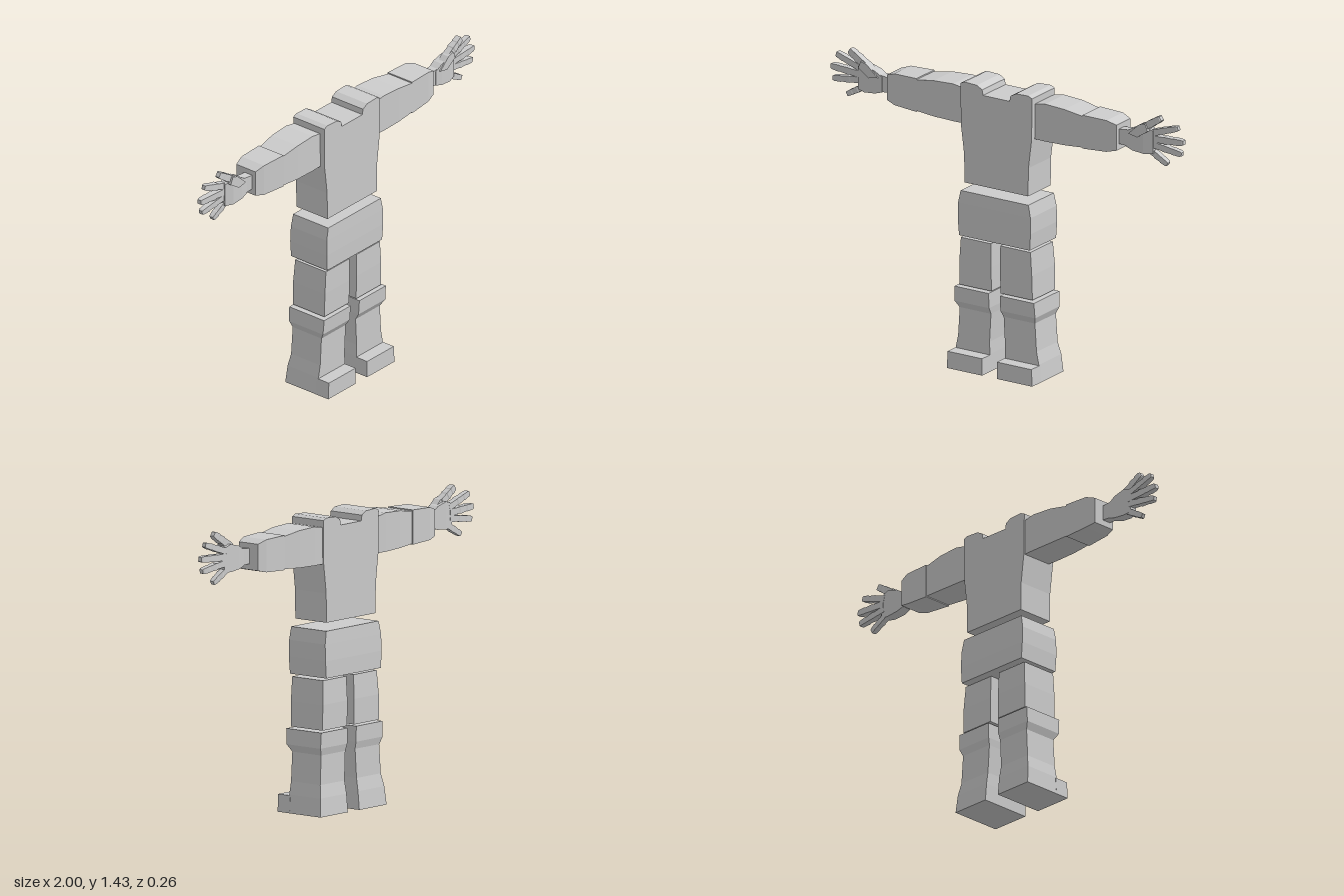
import * as THREE from 'three';

const grey = new THREE.MeshStandardMaterial({ color: 0xcccccc, flatShading: true });
grey.name = 'plain grey';

// Box whose cross-sections follow a list of [position, min1, max1, min2, max2].
// axis 'y': ranges are x and z. axis 'x': ranges are y and z.
function loft(axis, sections) {
  const n = sections.length - 1;
  const alongX = axis === 'x';
  const g = new THREE.BoxGeometry(1, 1, 1, alongX ? n : 1, alongX ? 1 : n, 1);
  const p = g.attributes.position;
  for (let i = 0; i < p.count; i++) {
    const along = alongX ? p.getX(i) : p.getY(i);
    const across = alongX ? p.getY(i) : p.getX(i);
    const s = sections[Math.round((along + 0.5) * n)];
    const a = across < 0 ? s[1] : s[2];
    const z = p.getZ(i) < 0 ? s[3] : s[4];
    if (alongX) p.setXYZ(i, s[0], a, z);
    else p.setXYZ(i, a, s[0], z);
  }
  return flat(g);
}

function flat(g) {
  const out = g.index ? g.toNonIndexed() : g;
  out.computeVertexNormals();
  return out;
}

// Reflects in x and turns the triangles round so they still face outwards.
function mirrored(g) {
  const out = g.clone().scale(-1, 1, 1);
  const p = out.attributes.position;
  const b = new THREE.Vector3(), c = new THREE.Vector3();
  for (let i = 0; i < p.count; i += 3) {
    b.fromBufferAttribute(p, i + 1);
    c.fromBufferAttribute(p, i + 2);
    p.setXYZ(i + 1, c.x, c.y, c.z);
    p.setXYZ(i + 2, b.x, b.y, b.z);
  }
  out.computeVertexNormals();
  return out;
}

function plate(points, z0, z1) {
  const shape = new THREE.Shape(points.map(([x, y]) => new THREE.Vector2(x, y)));
  const g = new THREE.ExtrudeGeometry(shape, { depth: z1 - z0, bevelEnabled: false });
  return flat(g.translate(0, 0, z0));
}

// Three-jointed finger from root to tip, slightly thicker at each knuckle
function finger(x0, y0, x1, y1, z, w) {
  const len = Math.hypot(x1 - x0, y1 - y0);
  const profile = [[0, 1], [0.38, 0.9], [0.42, 1.02], [0.68, 0.85], [0.72, 0.95], [0.95, 0.8], [1, 0.6]];
  const g = loft('x', profile.map(([t, k]) => [t * len, -w * k, w * k, -w * k, w * k]));
  g.rotateZ(Math.atan2(y1 - y0, x1 - x0));
  return g.translate(x0, y0, z);
}

export function createModel() {
  const model = new THREE.Group();
  model.name = 'figure';

  function add(name, geometry) {
    const mesh = new THREE.Mesh(geometry, grey);
    mesh.name = name;
    model.add(mesh);
  }
  function addPair(name, geometry) {
    add('left' + name, geometry);
    add('right' + name, mirrored(geometry));
  }

  // Torso with raised shoulders and a neck notch
  const half = [[0.18, 0.92], [0.182, 1.06], [0.192, 1.14], [0.2, 1.2], [0.203, 1.41],
    [0.18, 1.42], [0.11, 1.417], [0.08, 1.4], [0.075, 1.373]];
  const other = half.map(([x, y]) => [-x, y]).reverse();
  add('torso', plate([...half, ...other], -0.114, 0.077));

  // Hips
  add('hips', loft('y', [
    [0.658, -0.2, 0.2, -0.13, 0.093],
    [0.74, -0.206, 0.206, -0.13, 0.095],
    [0.82, -0.205, 0.205, -0.127, 0.094],
    [0.882, -0.192, 0.192, -0.123, 0.092],
  ]));

  // Legs
  addPair('Thigh', loft('y', [
    [0.408, 0.026, 0.207, -0.112, 0.08],
    [0.53, 0.025, 0.205, -0.113, 0.083],
    [0.645, 0.026, 0.197, -0.107, 0.082],
  ]));
  addPair('Shin', loft('y', [
    [0, 0.042, 0.242, -0.13, 0.068],
    [0.088, 0.042, 0.235, -0.122, 0.068],
    [0.15, 0.044, 0.222, -0.111, 0.068],
    [0.29, 0.036, 0.213, -0.109, 0.068],
    [0.325, 0.032, 0.228, -0.118, 0.09],
    [0.4, 0.032, 0.225, -0.12, 0.095],
  ]));
  addPair('Foot', plate([[0.042, 0], [0.242, 0], [0.237, 0.084], [0.042, 0.084]], 0.06, 0.134));

  // Arms
  addPair('UpperArm', loft('x', [
    [0.19, 1.202, 1.375, -0.108, 0.05],
    [0.26, 1.202, 1.388, -0.11, 0.053],
    [0.37, 1.205, 1.383, -0.106, 0.054],
    [0.475, 1.212, 1.366, -0.096, 0.049],
  ]));
  addPair('Forearm', loft('x', [
    [0.47, 1.207, 1.373, -0.1, 0.051],
    [0.6, 1.213, 1.369, -0.098, 0.042],
    [0.65, 1.225, 1.352, -0.087, 0.03],
  ]));

  // Hands
  addPair('Wrist', loft('x', [
    [0.63, 1.255, 1.325, -0.036, 0.01],
    [0.72, 1.25, 1.335, -0.034, 0.01],
  ]));
  addPair('Palm', loft('x', [
    [0.69, 1.25, 1.325, -0.036, 0.012],
    [0.73, 1.238, 1.35, -0.038, 0.016],
    [0.79, 1.232, 1.365, -0.038, 0.014],
    [0.835, 1.235, 1.35, -0.036, 0],
  ]));
  addPair('ThumbBase', plate([[0.71, 1.32], [0.76, 1.31], [0.82, 1.35], [0.805, 1.385], [0.77, 1.375]], -0.02, 0.022));
  addPair('Thumb', finger(0.785, 1.36, 0.882, 1.422, -0.004, 0.018));
  addPair('IndexFinger', finger(0.815, 1.333, 0.968, 1.383, -0.022, 0.016));
  addPair('MiddleFinger', finger(0.82, 1.307, 0.998, 1.317, -0.022, 0.017));
  addPair('RingFinger', finger(0.82, 1.28, 0.988, 1.258, -0.022, 0.016));
  addPair('LittleFinger', finger(0.8, 1.253, 0.908, 1.193, -0.022, 0.015));

  return model;
}
